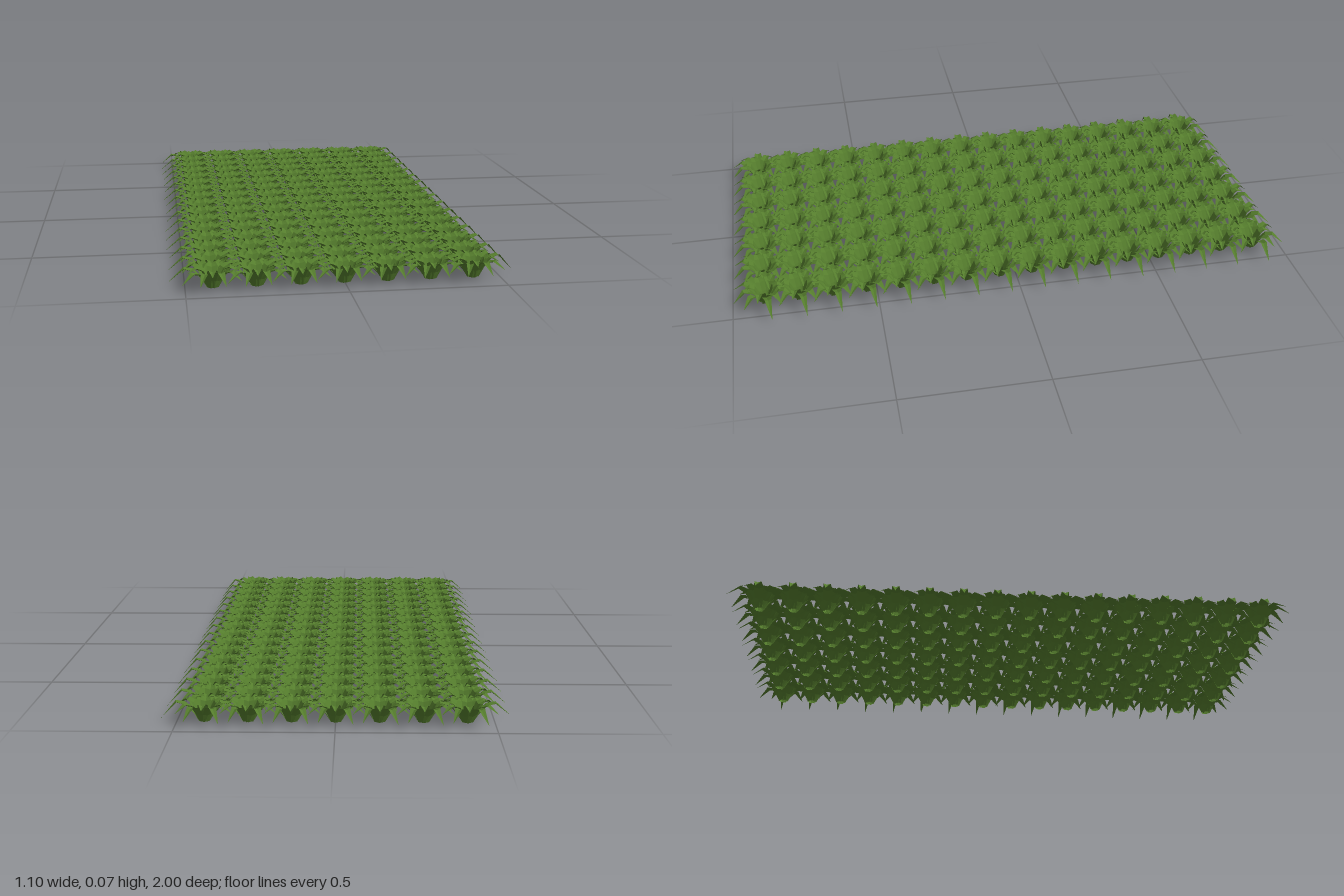
import * as THREE from 'three';

// Blades of one tuft: [heading in degrees (0 = +x, 90 = -z), reach, peak height, tip height]
const BLADES = [
  [10, 0.136, 0.068, 0.014], [180, 0.137, 0.064, 0.02],
  [64, 0.120, 0.066, 0.03], [117, 0.124, 0.066, 0.025],
  [248, 0.112, 0.064, 0.03], [290, 0.110, 0.066, 0.03],
  [218, 0.122, 0.06, 0.03], [322, 0.112, 0.062, 0.035],
  [36, 0.105, 0.066, 0.04], [150, 0.108, 0.066, 0.04],
  [90, 0.075, 0.068, 0.055], [268, 0.072, 0.066, 0.05],
  [345, 0.085, 0.07, 0.05], [198, 0.085, 0.068, 0.05],
];

// Cross-sections along a blade: [distance / reach, height / peak, half width]
const SECTIONS = [
  [0.12, 0, 0.011], [0.24, 0.45, 0.015], [0.42, 0.88, 0.017], [0.64, 1, 0.012], [1, 0, 0],
];

// One creased, arching strip per blade, with flat facets
function tuftGeometry() {
  const pos = [];
  const quad = (a, b, c, d) => [a, b, c, a, c, d].forEach((p) => pos.push(p.x, p.y, p.z));
  for (const [deg, reach, peak, tip] of BLADES) {
    const t = THREE.MathUtils.degToRad(deg);
    const rows = SECTIONS.map(([d, h, w], i) => {
      const last = i === SECTIONS.length - 1;
      const y = last ? tip : h * peak;
      return [-1, 0, 1].map((side) => {
        const lift = side === 0 && !last && i > 0 ? -0.005 : 0;
        return new THREE.Vector3(
          Math.cos(t) * d * reach - Math.sin(t) * side * w,
          y + lift,
          -Math.sin(t) * d * reach - Math.cos(t) * side * w
        );
      });
    });
    for (let i = 0; i < rows.length - 1; i++) {
      for (let s = 0; s < 2; s++) {
        const [a, b, c, d] = [rows[i][s], rows[i + 1][s], rows[i + 1][s + 1], rows[i][s + 1]];
        if (i < rows.length - 2) quad(a, b, c, d);
        else [a, b, d].forEach((p) => pos.push(p.x, p.y, p.z));
      }
    }
  }
  const g = new THREE.BufferGeometry();
  g.setAttribute('position', new THREE.Float32BufferAttribute(pos, 3));
  g.computeVertexNormals();
  return g;
}

export function createModel() {
  const model = new THREE.Group();
  model.name = 'grassPatch';
  const leafGreen = new THREE.MeshStandardMaterial({ color: 0x557d2d, side: THREE.DoubleSide });
  leafGreen.name = 'leafGreen';
  const geometry = tuftGeometry();

  // Planting grid of identical tufts
  const columns = 7, rows = 16, stepX = 0.138, stepZ = 0.1188;
  for (let r = 0; r < rows; r++) {
    for (let c = 0; c < columns; c++) {
      const tuft = new THREE.Mesh(geometry, leafGreen);
      tuft.name = 'grassTuft';
      tuft.position.set((c - (columns - 1) / 2) * stepX, 0, (r - (rows - 1) / 2) * stepZ);
      model.add(tuft);
    }
  }
  return model;
}
